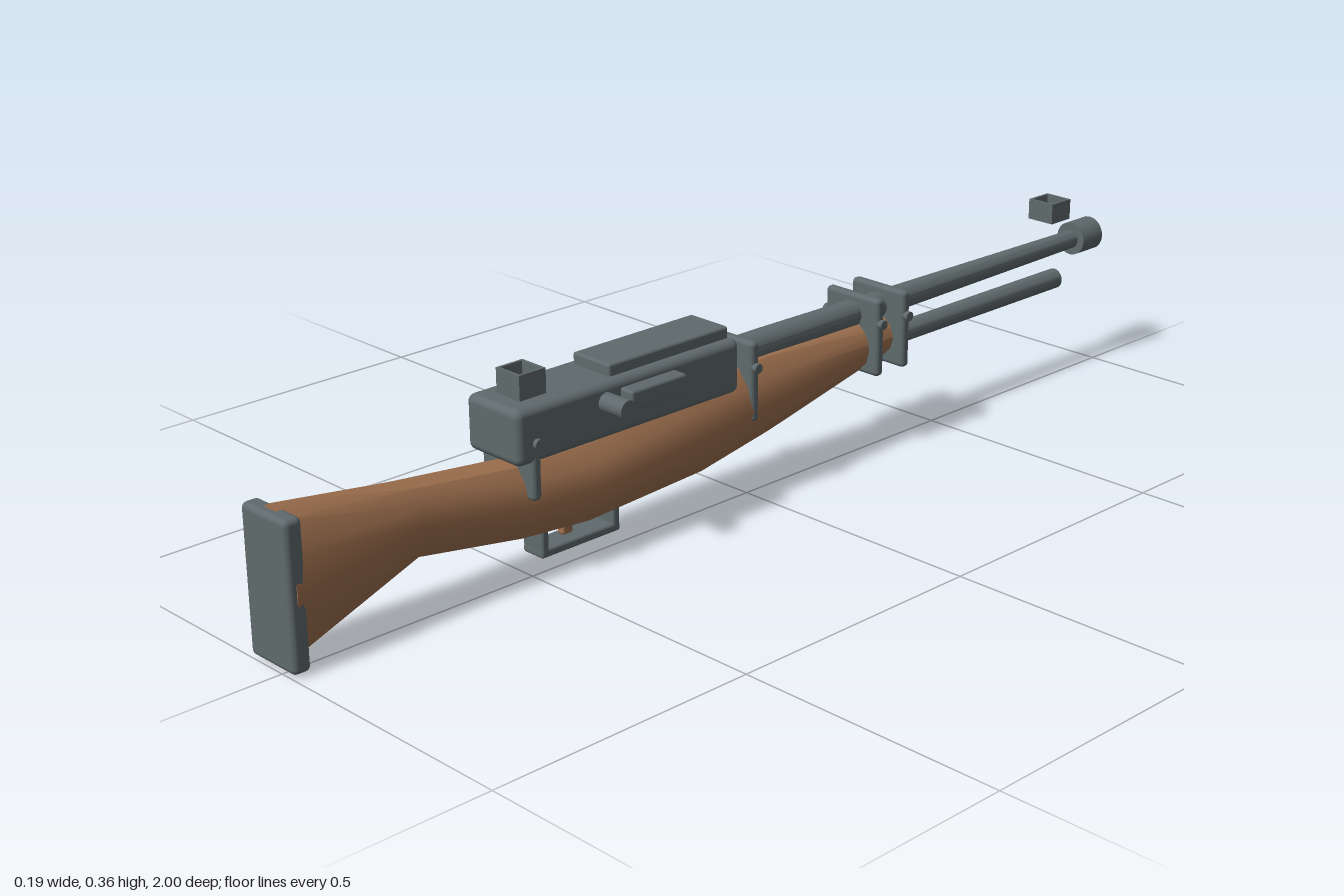
import * as THREE from 'three';
import { toCreasedNormals } from 'three/addons/utils/BufferGeometryUtils.js';
import { RoundedBoxGeometry } from 'three/addons/geometries/RoundedBoxGeometry.js';

const metal = new THREE.MeshStandardMaterial({ color: 0x5f6a6c });
metal.name = 'gunmetal';
const wood = new THREE.MeshStandardMaterial({ color: 0xa0714f });
wood.name = 'walnut wood';

// Loft of 12-sided oval rings, each given as [z, top, bottom, halfWidth], running toward -z
function loft(rings, sides = 12) {
  const pos = [], idx = [];
  rings.forEach(([z, top, bottom, rx]) => {
    for (let j = 0; j < sides; j++) {
      const a = (j / sides) * Math.PI * 2;
      pos.push(rx * Math.cos(a), (top + bottom) / 2 + ((top - bottom) / 2) * Math.sin(a), z);
    }
  });
  for (let i = 0; i < rings.length - 1; i++) {
    for (let j = 0; j < sides; j++) {
      const k = (j + 1) % sides;
      const a = i * sides + j, b = i * sides + k, c = a + sides, d = b + sides;
      idx.push(a, c, b, b, c, d);
    }
  }
  const g = new THREE.BufferGeometry();
  g.setAttribute('position', new THREE.Float32BufferAttribute(pos, 3));
  g.setIndex(idx);
  return toCreasedNormals(g, 0.5);
}

// Turned part along the bore; profile points are [radius, distance toward the muzzle]
function turned(profile) {
  const g = new THREE.LatheGeometry(profile.map(([r, d]) => new THREE.Vector2(r, d)), 20);
  return toCreasedNormals(g.rotateX(-Math.PI / 2), 0.6);
}

// Open-topped square frame with a thin floor
function sightGeometry(w, h, d, wall) {
  const rect = (path, x, y) => path.moveTo(-x, -y).lineTo(x, -y).lineTo(x, y).lineTo(-x, y).closePath();
  const shape = rect(new THREE.Shape(), w / 2, d / 2);
  shape.holes.push(rect(new THREE.Path(), w / 2 - wall, d / 2 - wall));
  return new THREE.ExtrudeGeometry(shape, { depth: h, bevelEnabled: false }).rotateX(-Math.PI / 2);
}

export function createModel() {
  const model = new THREE.Group();
  model.name = 'rifle';
  const body = new THREE.Group();
  body.name = 'rifleBody';
  body.position.x = -0.025;
  model.add(body);

  const add = (name, geo, mat, x = 0, y = 0, z = 0) => {
    const m = new THREE.Mesh(geo, mat);
    m.name = name;
    m.position.set(x, y, z);
    body.add(m);
    return m;
  };
  const rounded = (w, h, d, r) => new RoundedBoxGeometry(w, h, d, 3, r);

  // Wooden stock
  add('stock', loft([
    [0.985, 0.137, 0.135, 0.001],
    [0.985, 0.272, 0.001, 0.06],
    [0.73, 0.236, 0.1, 0.047],
    [0.52, 0.212, 0.066, 0.053],
    [0.38, 0.216, 0.056, 0.065],
    [0.12, 0.255, 0.068, 0.068],
    [-0.05, 0.26, 0.098, 0.063],
    [-0.38, 0.245, 0.168, 0.04],
    [-0.38, 0.207, 0.205, 0.001],
  ]), wood);
  add('buttPlate', rounded(0.115, 0.257, 0.034, 0.01), metal, 0, 0.134, 0.983);

  // Receiver and the parts on it
  add('receiver', rounded(0.13, 0.098, 0.5, 0.014), metal, 0, 0.267, 0.305);
  add('topCover', rounded(0.091, 0.03, 0.275, 0.005), metal, 0, 0.322, 0.2025);
  add('sidePort', rounded(0.04, 0.034, 0.125, 0.005), metal, 0.073, 0.283, 0.27);
  add('boltHandle', new THREE.CylinderGeometry(0.017, 0.017, 0.07, 16).rotateZ(Math.PI / 2),
    metal, 0.085, 0.284, 0.365);

  // Barrel, hollow muzzle and lower tube
  add('barrel', turned([[0, -0.06], [0.028, -0.06], [0.028, 0.05], [0.018, 0.95], [0, 0.95]]),
    metal, 0, 0.262, 0);
  add('muzzle', turned([[0, 0.94], [0.033, 0.94], [0.033, 1], [0.015, 1], [0.015, 0.955], [0, 0.955]]),
    metal, 0, 0.263, 0);
  add('lowerTube', turned([[0, 0.36], [0.02, 0.36], [0.02, 0.892], [0, 0.892]]), metal, 0, 0.191, 0);

  // Barrel bands with cross pins
  for (const z of [0.515, 0.017, -0.306, -0.376]) {
    add('band', rounded(0.13, 0.148, 0.02, 0.008), metal, 0, 0.226, z);
    add('bandPin', new THREE.CylinderGeometry(0.009, 0.009, 0.146, 12).rotateZ(Math.PI / 2),
      metal, 0, 0.253, z);
  }

  // Sights
  for (const [name, z, y] of [['rearSight', 0.49, 0.314], ['frontSight', -0.868, 0.32]]) {
    add(name, sightGeometry(0.058, 0.36 - y, 0.056, 0.005), metal, 0, y, z);
    add(name + 'Floor', new THREE.BoxGeometry(0.05, 0.005, 0.05), metal, 0, y + 0.0026, z);
  }

  // Trigger guard
  add('guardBar', rounded(0.05, 0.016, 0.175, 0.005), metal, 0, 0.031, 0.39);
  for (const z of [0.311, 0.469]) {
    add('guardPost', rounded(0.05, 0.055, 0.016, 0.005), metal, 0, 0.052, z);
  }
  add('trigger', rounded(0.016, 0.04, 0.024, 0.005), wood, 0, 0.062, 0.405);

  return model;
}
